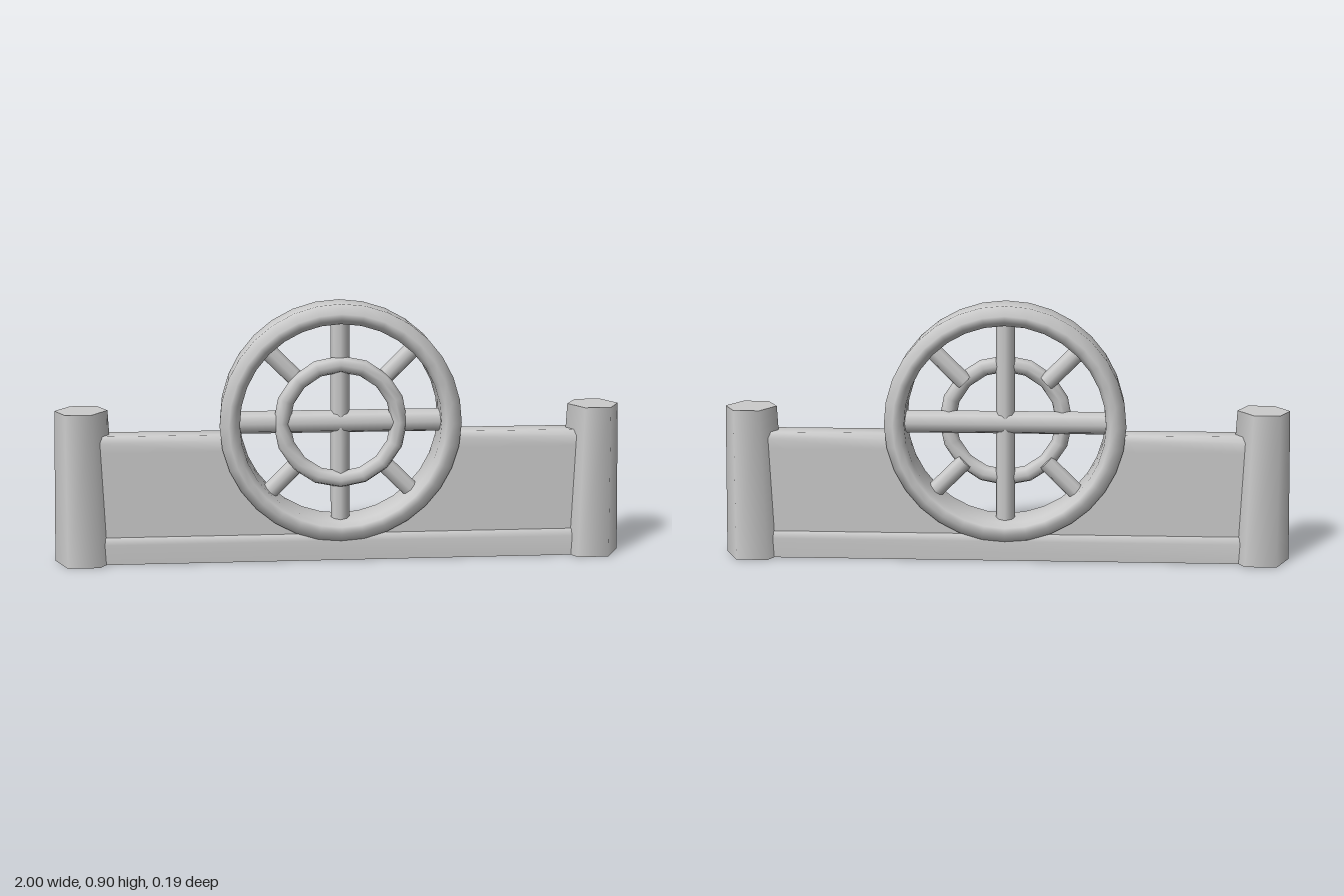
import * as THREE from 'three';

const material = new THREE.MeshStandardMaterial({ color: 0xcccccc, side: THREE.DoubleSide });
const CENTRE = 0.485; // height of the wheel axis

function addMesh(parent, name, geometry) {
  const mesh = new THREE.Mesh(geometry, material);
  mesh.name = name;
  parent.add(mesh);
  return mesh;
}

// Skin along x: each profile point [z, y] becomes an edge from startX(y) to endX
function strip(profile, startX, endX) {
  const positions = [], index = [];
  profile.forEach(([z, y], i) => {
    positions.push(startX(y), y, z, endX, y, z);
    if (i > 0) {
      const a = 2 * (i - 1);
      index.push(a, a + 1, a + 2, a + 1, a + 3, a + 2);
    }
  });
  const geometry = new THREE.BufferGeometry();
  geometry.setAttribute('position', new THREE.Float32BufferAttribute(positions, 3));
  geometry.setIndex(index);
  geometry.computeVertexNormals();
  return geometry;
}

// Front half of a profile, continued over the top to the back
const mirrored = (half) => [...half, ...half.slice().reverse().map(([z, y]) => [-z, y])];

export function createModel() {
  const model = new THREE.Group();
  model.name = 'wheelFence';

  // Tapered six-sided posts, open underneath
  for (const side of [-1, 1]) {
    const post = new THREE.Group();
    post.name = side > 0 ? 'leftPost' : 'rightPost';
    post.position.x = side * 0.89;
    model.add(post);
    const shaft = new THREE.CylinderGeometry(0.09, 0.11, 0.535, 6, 1, true, Math.PI / 2);
    addMesh(post, 'postShaft', shaft.translate(0, 0.2675, 0));
    addMesh(post, 'postTop', new THREE.CircleGeometry(0.09, 6).rotateX(-Math.PI / 2).translate(0, 0.535, 0));
  }

  // Base rail, open underneath
  const rail = mirrored([[0.064, 0], [0.064, 0.07], [0.057, 0.095]]);
  addMesh(model, 'baseRail', strip(rail, () => -0.89, 0.89));

  // Wall panels, cut round where they enter the wheel rim
  const half = [];
  for (let i = 0; i <= 10; i++) half.push([0.055 - 0.0005 * i, 0.06 + 0.037 * i]);
  half.push([0.035, 0.45]);
  const cut = (y) => Math.sqrt(Math.max(0.0225, 0.38 ** 2 - (y - CENTRE) ** 2));
  for (const side of [-1, 1]) {
    const panel = addMesh(model, side > 0 ? 'leftWall' : 'rightWall', strip(mirrored(half), cut, 0.89));
    if (side < 0) panel.rotation.y = Math.PI;
  }

  const wheel = new THREE.Group();
  wheel.name = 'wheel';
  wheel.position.y = CENTRE;
  model.add(wheel);

  // Broad rim with rounded edges
  const rimProfile = [
    [0.348, 0], [0.348, -0.06], [0.362, -0.08], [0.385, -0.088], [0.417, -0.063],
    [0.417, 0.063], [0.385, 0.088], [0.362, 0.08], [0.348, 0.06], [0.348, 0],
  ].map(([r, z]) => new THREE.Vector2(r, z));
  addMesh(wheel, 'rim', new THREE.LatheGeometry(rimProfile, 32).rotateX(Math.PI / 2));

  // Inner ring, set slightly forward
  addMesh(wheel, 'innerRing', new THREE.TorusGeometry(0.204, 0.029, 8, 16)).position.z = 0.02;

  // Cross bars spanning the rim
  addMesh(wheel, 'horizontalBar', new THREE.CylinderGeometry(0.04, 0.04, 0.72, 8).rotateZ(Math.PI / 2));
  addMesh(wheel, 'verticalBar', new THREE.CylinderGeometry(0.033, 0.033, 0.72, 8));

  // Short diagonal spokes between the inner ring and the rim
  for (let i = 0; i < 4; i++) {
    const spoke = new THREE.CylinderGeometry(0.03, 0.03, 0.16, 8).translate(0, 0.28, 0);
    addMesh(wheel, 'diagonalSpoke', spoke).rotation.z = Math.PI / 4 + (i * Math.PI) / 2;
  }

  return model;
}
